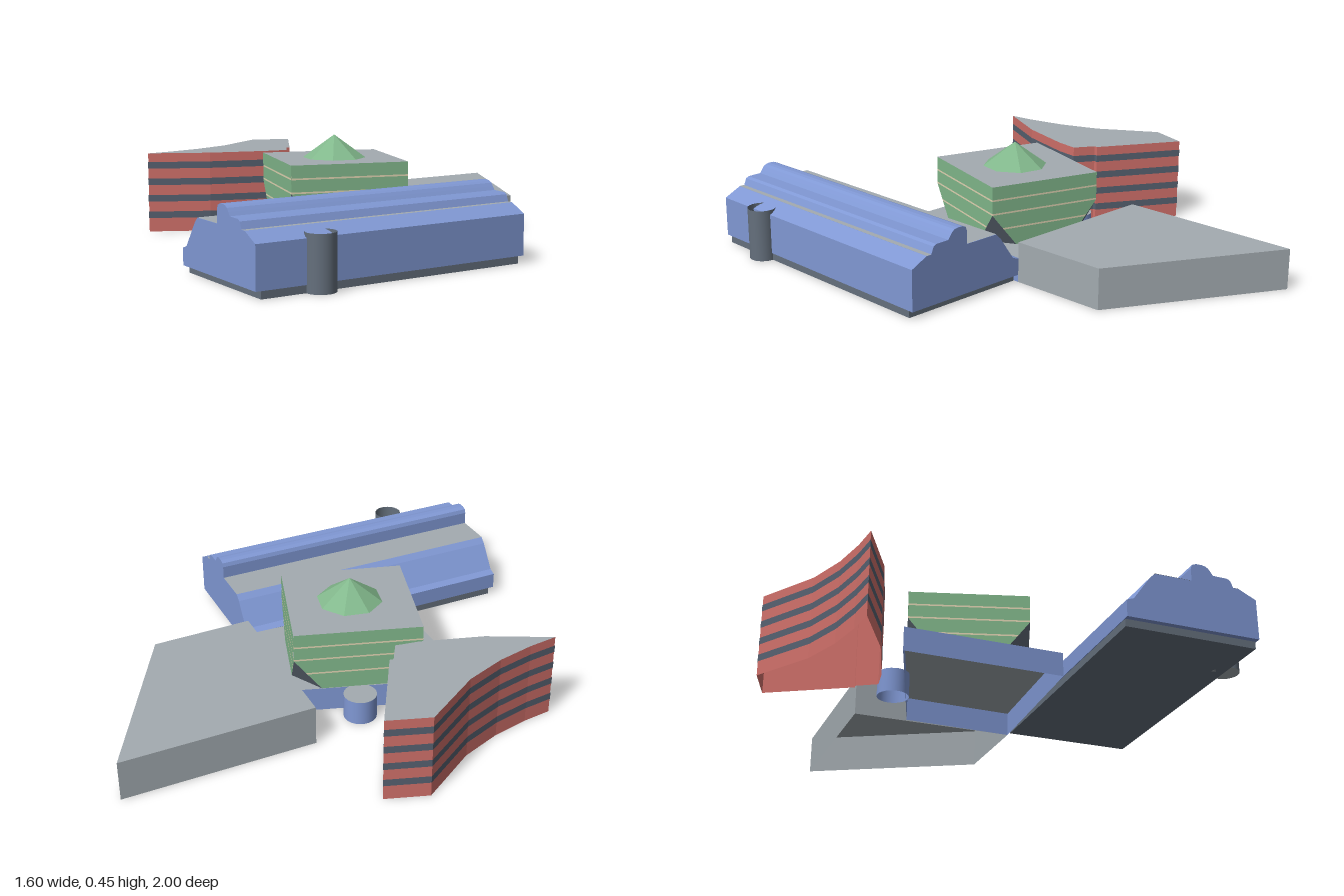
import * as THREE from 'three';

const GREY = 0xa3abb0, SLATE = 0x65707d, BAND = 0x566170;
const BLUE = 0x8098d4, RED = 0xd0706a, GREEN = 0x82b88c, CREAM = 0xe2d6b4;

const add = (parent, geo, color, name) => {
  const mat = new THREE.MeshStandardMaterial({ color, side: THREE.DoubleSide, flatShading: true });
  const mesh = new THREE.Mesh(geo, mat);
  mesh.name = name;
  parent.add(mesh);
  return mesh;
};

// Upright strip joining two [x, z] outlines at heights y0 and y1; keep(i) picks its sides
function walls(low, y0, high, y1, keep = () => true) {
  const pos = [];
  low.forEach((a, i) => {
    if (!keep(i)) return;
    const j = (i + 1) % low.length;
    const b = low[j], c = high[j], d = high[i];
    pos.push(a[0], y0, a[1], b[0], y0, b[1], c[0], y1, c[1]);
    pos.push(a[0], y0, a[1], c[0], y1, c[1], d[0], y1, d[1]);
  });
  const geo = new THREE.BufferGeometry();
  geo.setAttribute('position', new THREE.Float32BufferAttribute(pos, 3));
  geo.computeVertexNormals();
  return geo;
}

// Flat outline facing up at height y
function cap(pts, y) {
  const shape = new THREE.Shape(pts.map(([x, z]) => new THREE.Vector2(x, -z)));
  return new THREE.ShapeGeometry(shape).rotateX(-Math.PI / 2).translate(0, y, 0);
}

// Hollow block, open underneath
function createShell(pts, h, color, name) {
  const g = new THREE.Group();
  g.name = name;
  add(g, walls(pts, 0, pts, h), color, name + 'Walls');
  add(g, cap(pts, h), GREY, name + 'Roof');
  return g;
}

// Outline with each corner cut back by d along both sides
function cutCorners(pts, d) {
  const n = pts.length;
  const toward = (p, q) => {
    const t = d / Math.hypot(q[0] - p[0], q[1] - p[1]);
    return [p[0] + (q[0] - p[0]) * t, p[1] + (q[1] - p[1]) * t];
  };
  return pts.flatMap((p, i) => [toward(p, pts[(i + n - 1) % n]), toward(p, pts[(i + 1) % n])]);
}

function createHall() {
  const hall = new THREE.Group();
  hall.name = 'longHall';
  const length = 1.193;
  // Cross-section from the back edge over the stepped roof to the front
  const profile = [
    [0, 0.03], [0.55, 0.03], [0.55, 0.195], [0.478, 0.23], [0.455, 0.23], [0.443, 0.258],
    [0.43, 0.265], [0.37, 0.266], [0.36, 0.28], [0.35, 0.293], [0.338, 0.3], [0.323, 0.303], [0.3, 0.303],
    [0.282, 0.296], [0.276, 0.28], [0.276, 0.227], [0.122, 0.227], [0.1, 0.206], [0.03, 0.108], [0, 0.097],
  ];
  const shape = new THREE.Shape(profile.map(([s, y]) => new THREE.Vector2(s, y)));
  add(hall, new THREE.ExtrudeGeometry(shape, { depth: length, bevelEnabled: false }), BLUE, 'hallBody');
  // Flat roof strips
  for (const [s0, s1, y] of [[0.122, 0.276, 0.228], [0.455, 0.478, 0.231]]) {
    const strip = add(hall, new THREE.PlaneGeometry(s1 - s0, length).rotateX(-Math.PI / 2), GREY, 'roofStrip');
    strip.position.set((s0 + s1) / 2, y, length / 2);
  }
  // Recessed plinth
  const plinth = add(hall, new THREE.BoxGeometry(0.543, 0.03, length - 0.046), SLATE, 'hallPlinth');
  plinth.position.set(0.2745, 0.015, length / 2);
  hall.position.set(0.42, 0, -0.03);
  hall.rotation.y = -Math.atan2(0.893, 0.451);
  return hall;
}

function createStripedBlock() {
  const pts = [
    [-0.8, -0.417], [-0.53, -0.417], [-0.28, -0.46], [-0.187, -0.49], [-0.18, -0.585], [-0.165, -0.59],
    [-0.145, -0.975], [-0.32, -0.95], [-0.46, -0.71], [-0.58, -0.58], [-0.7, -0.483],
  ];
  const g = createShell(pts, 0.348, RED, 'stripedBlock');
  // Window bands set just outside the walls
  const [cx, cz] = [-0.33, -0.58];
  const proud = pts.map(([x, z]) => [cx + (x - cx) * 1.004, cz + (z - cz) * 1.004]);
  for (let i = 0; i < 4; i++) {
    const y = 0.06 + i * 0.0735;
    add(g, walls(proud, y, proud, y + 0.029), BAND, 'windowBand');
  }
  return g;
}

function createPavilion() {
  const g = new THREE.Group();
  g.name = 'squarePavilion';
  const square = [[-0.298, -0.36], [-0.21, 0.122], [0.282, 0.033], [0.203, -0.44]];
  // Corners taper away below the shoulder height
  const shoulder = 0.235;
  const outline = (y) => cutCorners(square, Math.max(0.0005, (shoulder - y) * 0.8));
  const levels = [0.1, 0.17, 0.177, shoulder, 0.242, 0.292, 0.299, 0.352];
  for (let i = 0; i < levels.length - 1; i++) {
    const [y0, y1] = [levels[i], levels[i + 1]];
    const strip = walls(outline(y0), y0, outline(y1), y1, (k) => k % 2 === 1);
    add(g, strip, i % 2 ? CREAM : GREEN, i % 2 ? 'trimLine' : 'pavilionWall');
  }
  add(g, walls(outline(0.1), 0.1, outline(shoulder), shoulder, (k) => k % 2 === 0), SLATE, 'cutCorners');
  add(g, cap(square, 0.352), GREY, 'pavilionRoof');
  // Eight-sided skylight
  const cone = add(g, new THREE.ConeGeometry(0.133, 0.097, 8, 1, true), GREEN, 'skylight');
  cone.position.set(-0.006, 0.4005, -0.157);
  cone.rotation.y = -0.14;
  return g;
}

// Round drum standing on the ground, with one flat disc at discY
function createDrum(radius, height, discY, x, z, color, name) {
  const g = new THREE.Group();
  g.name = name;
  const wall = new THREE.CylinderGeometry(radius, radius, height, 24, 1, true).translate(0, height / 2, 0);
  add(g, wall, color, name + 'Wall').material.flatShading = false;
  const disc = new THREE.CircleGeometry(radius, 24).rotateX(-Math.PI / 2).translate(0, discY, 0);
  add(g, disc, GREY, name + 'Disc');
  g.position.set(x, 0, z);
  return g;
}

export function createModel() {
  const model = new THREE.Group();
  model.name = 'buildingComplex';
  model.add(
    createHall(),
    createStripedBlock(),
    createPavilion(),
    createShell([[-0.495, -0.338], [-0.195, 0.25], [0.42, -0.03], [0.2, -0.44]], 0.1, BLUE, 'podium'),
    createShell([[0.11, -0.645], [0.42, -0.03], [0.78, -0.22], [0.8, -1]], 0.165, GREY, 'sideBlock'),
    createDrum(0.058, 0.215, 0, -0.163, 0.88, SLATE, 'frontTower'),
    createDrum(0.066, 0.1, 0.1, -0.055, -0.455, BLUE, 'backAnnex'),
  );
  return model;
}
